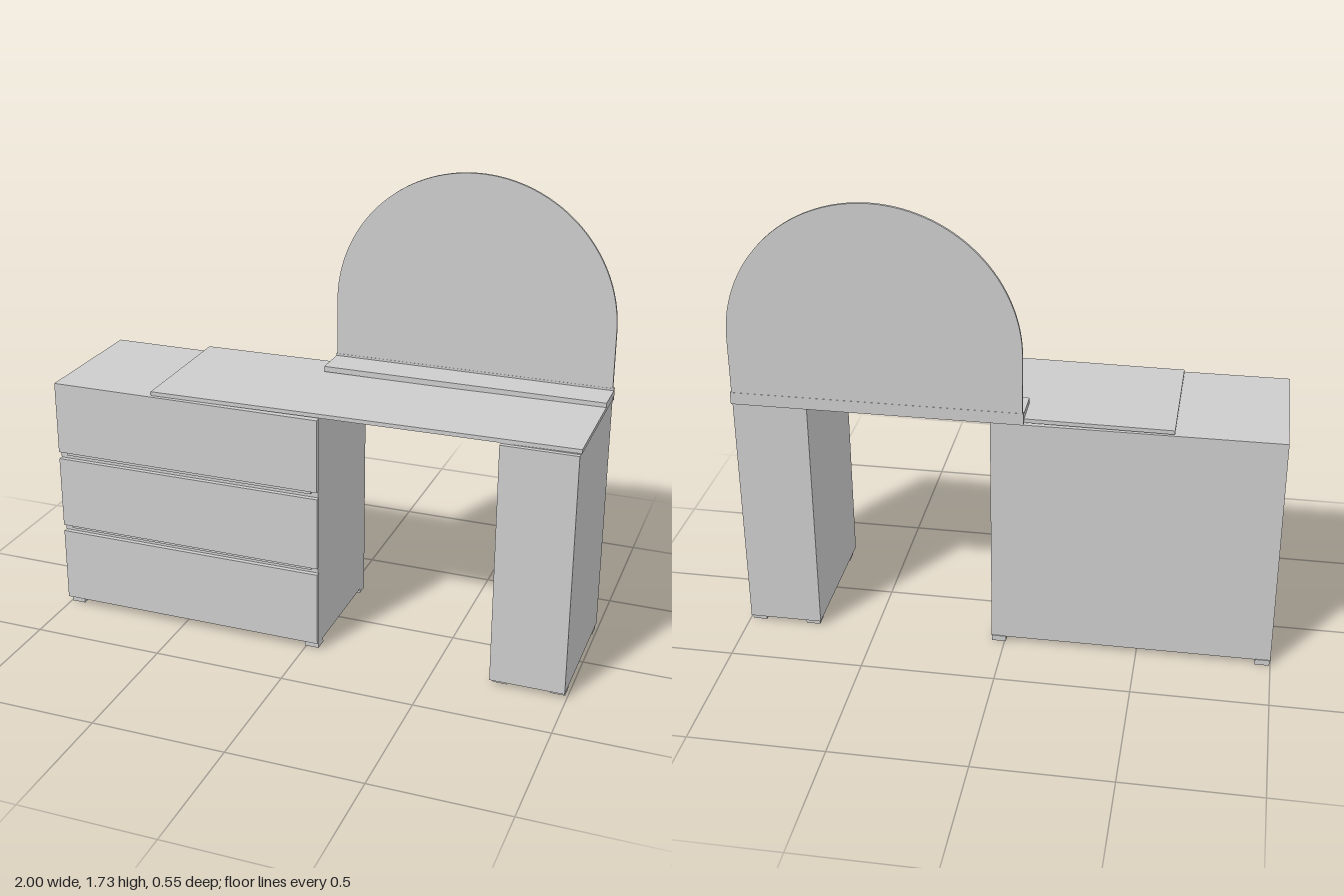
import * as THREE from 'three';

const paint = new THREE.MeshStandardMaterial({ color: 0xcccccc });
paint.name = 'light grey';

// Box given by its minimum and maximum along each axis
function slab(name, [x0, x1], [y0, y1], [z0, z1]) {
  const geometry = new THREE.BoxGeometry(x1 - x0, y1 - y0, z1 - z0);
  geometry.translate((x0 + x1) / 2, (y0 + y1) / 2, (z0 + z1) / 2);
  const mesh = new THREE.Mesh(geometry, paint);
  mesh.name = name;
  return mesh;
}

// Four small feet under a cabinet
function feet(x0, x1) {
  const group = new THREE.Group();
  group.name = 'feet';
  for (const x of [x0, x1]) {
    for (const z of [-0.235, 0.225]) {
      group.add(slab('foot', [x - 0.027, x + 0.027], [0, 0.022], [z - 0.025, z + 0.025]));
    }
  }
  return group;
}

export function createModel() {
  const model = new THREE.Group();
  model.name = 'dressingTable';

  // Chest with three drawers and shadow gaps between them
  const chest = new THREE.Group();
  chest.name = 'drawerChest';
  chest.add(slab('chestBody', [-1, 0.05], [0.02, 0.93], [-0.257, 0.255]));
  for (const [y0, y1] of [[0.03, 0.318], [0.343, 0.623], [0.65, 0.93]]) {
    chest.add(slab('drawerFront', [-1, 0.053], [y0, y1], [0.255, 0.273]));
  }
  for (const y of [0.33, 0.636]) {
    chest.add(slab('gripRail', [-0.97, 0.025], [y, y + 0.012], [0.255, 0.262]));
  }
  chest.add(slab('basePanel', [-0.9, 0], [0.008, 0.022], [-0.2, 0.2]));
  chest.add(feet(-0.97, 0.022));
  model.add(chest);

  // Narrow side cabinet
  const side = new THREE.Group();
  side.name = 'sideCabinet';
  side.add(slab('cabinetBody', [0.717, 0.993], [0.02, 0.94], [-0.272, 0.258]));
  side.add(slab('cabinetDoor', [0.717, 0.993], [0.02, 0.938], [0.258, 0.275]));
  side.add(feet(0.75, 0.963));
  model.add(side);

  // Desktop rising gently to the left end and to the back
  const top = slab('desktop', [-0.605, 0.997], [0.93, 0.945], [-0.257, 0.258]);
  const p = top.geometry.attributes.position;
  for (let i = 0; i < p.count; i++) {
    const across = (p.getX(i) + 0.605) / 1.602;
    const back = (0.258 - p.getZ(i)) / 0.515;
    p.setY(i, p.getY(i) + 0.012 * across + 0.006 * back);
  }
  top.geometry.computeVertexNormals();
  model.add(top);

  // Ledge that carries the mirror
  model.add(slab('mirrorLedge', [-0.073, 0.997], [0.957, 0.978], [-0.274, -0.135]));
  model.add(slab('ledgeBackRail', [-0.073, 0.997], [0.94, 0.986], [-0.279, -0.266]));

  // Arched mirror panel
  const arch = new THREE.Shape();
  arch.moveTo(-0.07, 0.984);
  arch.lineTo(0.992, 0.984);
  arch.lineTo(0.992, 1.2);
  arch.absarc(0.461, 1.2, 0.531, 0, Math.PI, false);
  arch.lineTo(-0.07, 0.984);
  const mirror = new THREE.Mesh(
    new THREE.ExtrudeGeometry(arch, { depth: 0.011, bevelEnabled: false, curveSegments: 40 }),
    paint
  );
  mirror.name = 'mirror';
  mirror.position.z = -0.278;
  model.add(mirror);

  return model;
}
